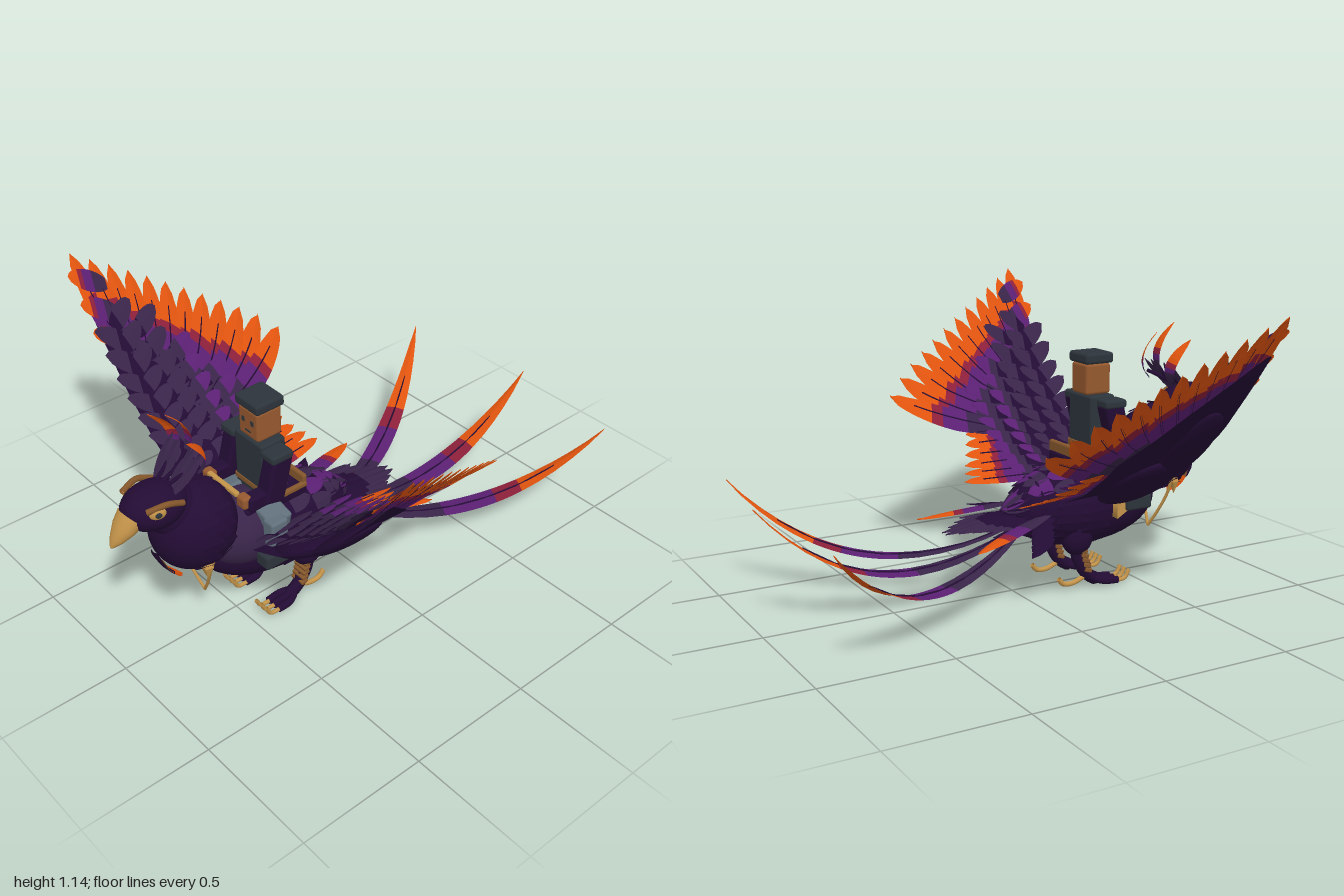
import * as THREE from 'three';
import { RoundedBoxGeometry } from 'three/addons/geometries/RoundedBoxGeometry.js';

const mat = (name, color) => {
  const m = new THREE.MeshStandardMaterial({ color, side: THREE.DoubleSide });
  m.name = name;
  return m;
};
const M = {
  plum: mat('plum', 0x230c34), dusk: mat('dusk', 0x382448), violet: mat('violet', 0x5a1f72),
  crimson: mat('crimson', 0x8c1f3a), ember: mat('ember', 0xdf530e), gold: mat('gold', 0xc4944a),
  leather: mat('leather', 0x85572c), slate: mat('slate', 0x61707c), charcoal: mat('charcoal', 0x2c343b),
  skin: mat('skin', 0x96592f),
};
const V = (x, y, z) => new THREE.Vector3(x, y, z);

function part(parent, name, geo, m, pos = [0, 0, 0], rot = [0, 0, 0], scale = [1, 1, 1]) {
  const mesh = new THREE.Mesh(geo, m);
  mesh.name = name;
  mesh.position.set(...pos);
  mesh.rotation.set(...rot);
  mesh.scale.set(...scale);
  parent.add(mesh);
  return mesh;
}
const ball = (p, name, m, pos, r, rot) => part(p, name, new THREE.SphereGeometry(1, 32, 22), m, pos, rot, r);
const box = (p, name, m, pos, size, rot, r = 0.012) => part(p, name, new RoundedBoxGeometry(...size, 2, r), m, pos, rot);
const tube = (p, name, m, pts, r) =>
  part(p, name, new THREE.TubeGeometry(new THREE.CatmullRomCurve3(pts.map(a => V(...a))), 14, r, 8), m);

// Collects many thin feathers into one mesh per colour
function plumage(parent, name) {
  const group = new THREE.Group();
  group.name = name;
  parent.add(group);
  const buckets = new Map();
  return {
    // bands: [material key, end of band along the feather]
    add(base, tip, width, bands, { ctrl, up = V(0, 1, 0), warp = p => p, s = 1, pow = 0.6, shaft = false } = {}) {
      const curve = new THREE.QuadraticBezierCurve3(base, ctrl || base.clone().lerp(tip, 0.5), tip);
      const row = (t, k = 1, lift = 0) => {
        const c = curve.getPoint(t);
        const side = up.clone().cross(curve.getTangent(t)).normalize();
        const w = k * width / 2 * Math.pow(Math.max(0, Math.sin(Math.PI * (0.08 + 0.92 * t))), pow);
        return [-1, 0, 1].map(e => {
          const q = warp(c.clone().addScaledVector(side, e * w)).addScaledVector(up, lift + (e ? 0 : width * 0.06));
          q.x *= s;
          return q;
        });
      };
      const strip = (key, t0, t1, n, k, lift) => {
        if (!buckets.has(key)) buckets.set(key, []);
        const out = buckets.get(key);
        for (let i = 0; i < n; i++) {
          const a = row(t0 + (t1 - t0) * i / n, k, lift), b = row(t0 + (t1 - t0) * (i + 1) / n, k, lift);
          for (let j = 0; j < 2; j++) {
            const quad = [a[j], b[j], a[j + 1], a[j + 1], b[j], b[j + 1]];
            if (s < 0) quad.reverse();
            quad.forEach(q => out.push(q.x, q.y, q.z));
          }
        }
      };
      let t0 = 0;
      for (const [key, t1] of bands) { strip(key, t0, t1, 5); t0 = t1; }
      if (shaft) strip('plum', 0, 0.8, 6, 0.09, 0.003);
    },
    done() {
      for (const [key, arr] of buckets) {
        const g = new THREE.BufferGeometry();
        g.setAttribute('position', new THREE.Float32BufferAttribute(arr, 3));
        g.computeVertexNormals();
        part(group, `${name} ${key}`, g, M[key]);
      }
    },
  };
}

// Height of the raised wing at each distance from the body
const WING = [[0, 0.38], [0.15, 0.405], [0.3, 0.47], [0.45, 0.575], [0.6, 0.71], [0.75, 0.89], [0.94, 1.14]];
function wingY(x) {
  let i = 1;
  while (i < WING.length - 1 && x > WING[i][0]) i++;
  const [a, b] = [WING[i - 1], WING[i]];
  return a[1] + (b[1] - a[1]) * (x - a[0]) / (b[0] - a[0]);
}
const onWing = p => V(p.x, wingY(p.x) + p.y - 0.05 * (0.4 - p.z), p.z);
const FLAME = [['dusk', 0.36], ['violet', 0.56], ['crimson', 0.65], ['ember', 1]];

function wing(root, s) {
  const side = s > 0 ? 'left' : 'right';
  const f = plumage(root, side + ' wing feathers');
  const o = { warp: onWing, s, pow: 0.5 };
  // long outer feathers
  for (let i = 0; i < 12; i++) {
    const t = i / 11;
    const tip = V(0.61 + 0.32 * Math.pow(t, 0.8), -0.012 + t * 0.012, -0.22 + 0.73 * t);
    const base = V(0.42 + 0.26 * t, tip.y - 0.01 * (i % 2), 0.24 + 0.22 * t);
    const ctrl = base.clone().lerp(tip, 0.5).add(V(-0.03, 0, -0.03 * (1 - t)));
    f.add(base, tip, 0.088, FLAME, { ...o, ctrl, shaft: true });
  }
  // inner trailing feathers
  for (let i = 0; i < 6; i++)
    f.add(V(0.17 + 0.05 * i, -0.01 - 0.006 * (i % 2), 0.3), V(0.215 + 0.043 * i, -0.015, -0.09 + 0.024 * i), 0.062, FLAME, { ...o, shaft: true });
  // overlapping covert rows of separate pointed leaves
  const rows = [[0.24, 0.15, 'violet', 0.58], [0.32, 0.13, 'violet', 0.66], [0.4, 0.12, 'dusk', 0.72], [0.48, 0.11, 'dusk', 0.78]];
  rows.forEach(([z, len, key, end], r) => {
    for (let x = 0.16 + (r % 2) * 0.03; x < end; x += 0.06)
      f.add(V(x, 0.006 + r * 0.005, z), V(x + 0.035, 0.035 + r * 0.006, z - len), 0.052, [['plum', 0.3], ['dusk', 0.55], [key, 1]], o);
  });
  // raised tufts along the leading edge
  for (let i = 0; i < 9; i++) {
    const x = 0.2 + i * 0.062;
    f.add(V(x - 0.02, 0.02, 0.42), V(x + 0.025, 0.045, 0.56), 0.058, [['plum', 0.4], ['dusk', 1]], o);
  }
  for (const x of [0.72, 0.79, 0.86])
    f.add(V(x - 0.02, 0.005, 0.42), V(x + 0.02, 0.005, 0.555), 0.055, [['dusk', 0.35], ['violet', 0.6], ['crimson', 0.72], ['ember', 1]], o);
  f.done();

  // smooth underside: ruled sheet between leading and trailing edges
  const pos = [], idx = [], n = 20;
  for (let i = 0; i <= n; i++) {
    const x = 0.1 + 0.74 * i / n;
    const back = x < 0.5 ? 0.13 : 0.13 + 0.37 * Math.pow((x - 0.5) / 0.34, 1.3);
    for (const z of [0.52, back]) {
      const p = onWing(V(x, -0.025, z));
      pos.push(p.x * s, p.y, p.z);
    }
    if (i < n) {
      const a = 2 * i;
      idx.push(...(s > 0 ? [a, a + 1, a + 2, a + 2, a + 1, a + 3] : [a, a + 2, a + 1, a + 2, a + 3, a + 1]));
    }
  }
  const g = new THREE.BufferGeometry();
  g.setAttribute('position', new THREE.Float32BufferAttribute(pos, 3));
  g.setIndex(idx);
  g.computeVertexNormals();
  part(root, side + ' wing underside', g, M.plum);
  ball(root, side + ' wing shoulder', M.plum, [s * 0.31, 0.455, 0.36], [0.2, 0.045, 0.14], [0, 0, s * 0.58]);
  ball(root, side + ' wing arm', M.plum, [s * 0.54, 0.635, 0.42], [0.2, 0.028, 0.09], [0, 0, s * 0.8]);
}

// Leaf scales laid over an ellipsoid, pointing backward
function scales(root, name, c, r, rows, count, len, color) {
  const f = plumage(root, name);
  rows.forEach((u, k) => {
    for (let i = 0; i < count; i++) {
      const a = (i + (k % 2) / 2) / count * Math.PI * 2;
      const at = (v, out) => {
        const w = Math.sqrt(Math.max(0, 1 - v * v));
        return V(c[0] + Math.cos(a) * (r[0] * w + out), c[1] + Math.sin(a) * (r[1] * w + out), c[2] + r[2] * v);
      };
      f.add(at(u, 0.002), at(u - len / r[2], 0.01), 0.07, [['plum', 0.3], [color(Math.sin(a), i + k), 1]], { up: V(Math.cos(a), Math.sin(a), 0) });
    }
  });
  f.done();
}

export function createModel() {
  const root = new THREE.Group();
  root.name = 'fire bird with rider';

  // body, breast and head
  ball(root, 'body', M.plum, [0, 0.32, 0.31], [0.165, 0.165, 0.325]);
  ball(root, 'shoulders', M.dusk, [0, 0.39, 0.47], [0.158, 0.14, 0.17]);
  ball(root, 'breast', M.plum, [0, 0.5, 0.665], [0.15, 0.17, 0.165]);
  ball(root, 'neck', M.plum, [0, 0.6, 0.74], [0.085, 0.1, 0.1]);
  ball(root, 'head', M.plum, [0, 0.66, 0.815], [0.098, 0.082, 0.125]);
  const beak = [[0.054, 0], [0.046, 0.045], [0.028, 0.09], [0.01, 0.12], [0, 0.127]].map(p => new THREE.Vector2(...p));
  part(root, 'beak', new THREE.LatheGeometry(beak, 20), M.gold, [0, 0.655, 0.908], [2.35, 0, 0], [1.05, 1, 0.85]);
  scales(root, 'rump scales', [0, 0.32, 0.31], [0.165, 0.165, 0.325], [0.1, -0.2, -0.45, -0.7], 14, 0.13,
    (h, i) => h > 0.5 ? (i % 2 ? 'violet' : 'dusk') : 'plum');
  scales(root, 'neck scales', [0, 0.5, 0.665], [0.15, 0.17, 0.165], [0.35, -0.1], 14, 0.08, () => 'plum');

  // bib point under the breast, with a glowing rim
  const bib = plumage(root, 'bib');
  bib.add(V(0, 0.42, 0.812), V(0, 0.3, 0.725), 0.085, [['leather', 0.4], ['ember', 1]], { ctrl: V(0, 0.34, 0.79), up: V(0, 0, 1) });
  bib.add(V(0, 0.46, 0.832), V(0, 0.325, 0.757), 0.095, [['plum', 1]], { ctrl: V(0, 0.37, 0.812), up: V(0, 0, 1) });
  bib.done();

  for (const s of [1, -1]) {
    const side = s > 0 ? 'left' : 'right';
    wing(root, s);
    // eyes and brow
    ball(root, side + ' eye', M.gold, [s * 0.086, 0.69, 0.855], [0.013, 0.023, 0.03], [0, s * -0.3, 0]);
    ball(root, side + ' pupil', M.charcoal, [s * 0.097, 0.69, 0.858], [0.005, 0.011, 0.012], [0, s * -0.3, 0]);
    tube(root, side + ' brow', M.leather, [[s * 0.092, 0.69, 0.755], [s * 0.093, 0.715, 0.82], [s * 0.074, 0.705, 0.89]], 0.011);

    // leg, foot and claws
    ball(root, side + ' thigh', M.plum, [s * 0.1, 0.21, 0.23], [0.05, 0.075, 0.065]);
    tube(root, side + ' shin', M.plum, [[s * 0.1, 0.2, 0.225], [s * 0.1, 0.12, 0.235], [s * 0.1, 0.05, 0.28], [s * 0.1, 0.025, 0.32]], 0.025);
    for (let i = 0; i < 5; i++)
      box(root, side + ' shin band', M.leather, [s * 0.1, 0.075 + i * 0.02, 0.268 - i * 0.005], [0.066, 0.016, 0.03], [0.3, 0, 0], 0.004);
    for (const k of [-1, 0, 1]) {
      const x = s * 0.1 + k * 0.03;
      tube(root, side + ' toe', M.plum, [[s * 0.1, 0.035, 0.29], [x, 0.022, 0.34], [x, 0.016, 0.4]], 0.015);
      tube(root, side + ' claw', M.gold, [[x, 0.013, 0.39], [x, 0.018, 0.435], [x, 0.05, 0.455]], 0.008);
    }
    tube(root, side + ' rear claw', M.gold, [[s * 0.1, 0.045, 0.27], [s * 0.1, 0.024, 0.21], [s * 0.1, 0.028, 0.17], [s * 0.1, 0.05, 0.15]], 0.01);

    // chest harness with diamond studs
    tube(root, side + ' harness', M.gold, [[s * 0.12, 0.42, 0.66], [s * 0.09, 0.33, 0.665], [s * 0.045, 0.24, 0.65], [0, 0.17, 0.635]], 0.006);
    part(root, side + ' harness stud', new THREE.OctahedronGeometry(0.032), M.gold, [s * 0.1, 0.37, 0.685], [0, s * 0.7, 0], [0.8, 1.6, 0.6]);

    // rider limbs and stirrup
    box(root, side + ' sleeve', M.plum, [s * 0.115, 0.63, 0.385], [0.068, 0.19, 0.085], [-0.25, 0, 0]);
    box(root, side + ' shoulder guard', M.charcoal, [s * 0.115, 0.72, 0.37], [0.075, 0.035, 0.095]);
    box(root, side + ' forearm', M.plum, [s * 0.11, 0.565, 0.445], [0.055, 0.06, 0.13]);
    box(root, side + ' hand', M.skin, [s * 0.1, 0.575, 0.51], [0.05, 0.05, 0.04]);
    box(root, side + ' rider thigh', M.slate, [s * 0.11, 0.48, 0.41], [0.14, 0.065, 0.1], [0, 0, s * -0.25]);
    box(root, side + ' rider shin', M.slate, [s * 0.172, 0.43, 0.43], [0.06, 0.14, 0.075]);
    box(root, side + ' boot', M.charcoal, [s * 0.175, 0.342, 0.445], [0.07, 0.06, 0.115]);
    part(root, side + ' stirrup', new THREE.CylinderGeometry(0.045, 0.045, 0.05, 3), M.gold, [s * 0.17, 0.325, 0.375], [0, 0, Math.PI / 2]);
  }

  // saddle
  box(root, 'saddle', M.plum, [0, 0.49, 0.36], [0.2, 0.05, 0.28]);
  box(root, 'saddle cantle', M.leather, [0, 0.53, 0.235], [0.21, 0.05, 0.02]);
  for (const s of [1, -1]) box(root, 'saddle trim', M.leather, [s * 0.1, 0.515, 0.31], [0.02, 0.02, 0.16], [0, 0, 0], 0.006);
  box(root, 'saddle pommel', M.gold, [0, 0.6, 0.525], [0.17, 0.02, 0.02], [0, 0, 0], 0.006);

  // rider
  box(root, 'rider torso', M.charcoal, [0, 0.625, 0.355], [0.16, 0.24, 0.11]);
  box(root, 'rider belt', M.leather, [0, 0.545, 0.355], [0.166, 0.025, 0.116], [0, 0, 0], 0.006);
  box(root, 'rider head', M.skin, [0, 0.805, 0.35], [0.11, 0.12, 0.11]);
  box(root, 'rider cap', M.charcoal, [0, 0.885, 0.35], [0.13, 0.042, 0.125]);
  for (const s of [1, -1]) box(root, 'rider eye', M.charcoal, [s * 0.025, 0.815, 0.405], [0.016, 0.02, 0.006], [0, 0, 0], 0.002);
  box(root, 'rider mouth', M.charcoal, [0, 0.775, 0.405], [0.03, 0.007, 0.006], [0, 0, 0], 0.002);

  // crest plumes
  const crest = plumage(root, 'crest');
  for (const k of [-1, 0, 1]) {
    const h = k ? -0.055 : 0;
    tube(root, 'crest stem', M.plum, [[k * 0.025, 0.73, 0.78], [k * 0.05, 0.77, 0.71], [k * 0.08, 0.82 + h / 2, 0.67]], 0.007);
    crest.add(V(k * 0.075, 0.79 + h / 2, 0.68), V(k * 0.112, 0.99 + h, 0.74), 0.045,
      [['dusk', 0.28], ['violet', 0.4], ['crimson', 0.52], ['ember', 1]],
      { ctrl: V(k * 0.1, 0.89 + h, 0.61), up: V(k * 0.6, 0.3, -1).normalize() });
  }
  for (const k of [-1, -0.5, 0.5, 1])
    crest.add(V(k * 0.05, 0.71, 0.77), V(k * 0.085, 0.84, 0.66), 0.055, [['dusk', 1]], { up: V(0, 0.7, 0.7) });
  crest.done();

  // tail streamers, coverts and rump spikes
  const tail = plumage(root, 'tail');
  const tailBands = [['dusk', 0.36], ['violet', 0.56], ['crimson', 0.66], ['ember', 1]];
  tail.add(V(0, 0.24, 0), V(0.05, 0.45, -1), 0.1, tailBands, { ctrl: V(0, -0.03, -0.6), pow: 0.8, shaft: true });
  for (const s of [1, -1]) {
    tail.add(V(0.04, 0.24, 0), V(0.535, 0.44, -0.94), 0.09, tailBands, { ctrl: V(0.28, -0.03, -0.56), pow: 0.8, s, shaft: true });
    tail.add(V(0.11, 0.32, 0.1), V(0.25, 0.26, -0.28), 0.07, FLAME, { s });
    for (let i = 0; i < 4; i++) {
      tail.add(V(0.02 + 0.02 * i, 0.33 - 0.015 * i, 0.1), V(0.015 + 0.03 * i, 0.27 + 0.006 * i, -0.29 + 0.04 * i), 0.075, [['plum', 0.6], ['dusk', 1]], { s });
      tail.add(V(0.1, 0.22 + 0.03 * i, 0.12), V(0.15 + 0.035 * i, 0.17 + 0.04 * i, 0.0 - 0.02 * i), 0.055, [['plum', 1]], { s });
    }
  }
  tail.done();
  return root;
}
